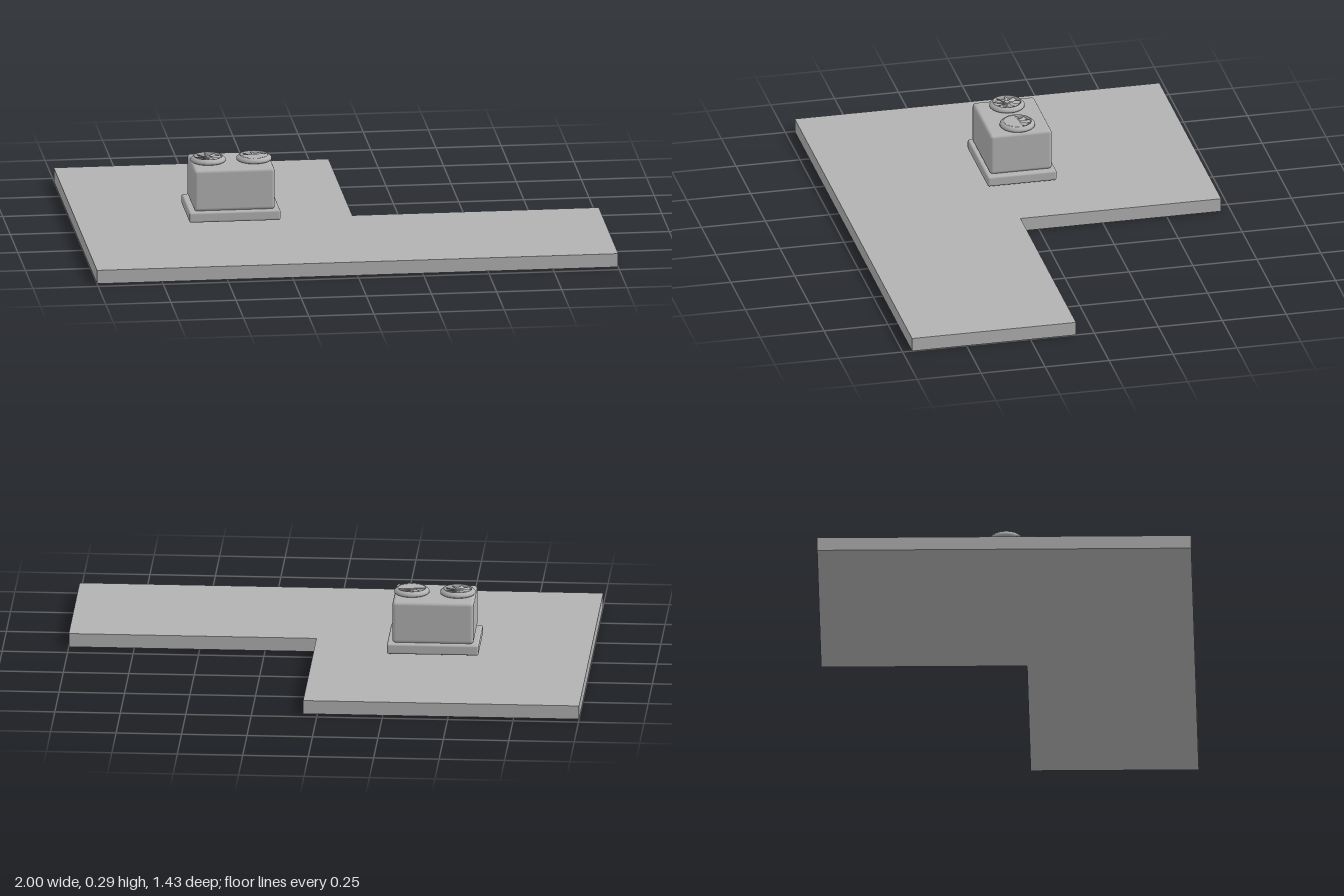
import * as THREE from 'three';
import { RoundedBoxGeometry } from 'three/addons/geometries/RoundedBoxGeometry.js';

export function createModel() {
  const model = new THREE.Group();
  model.name = 'roofWithCoolingUnit';
  const grey = new THREE.MeshStandardMaterial({ color: 0xb2b2b2 });
  grey.name = 'plain grey';

  const add = (parent, name, geometry, x = 0, y = 0, z = 0) => {
    const mesh = new THREE.Mesh(geometry, grey);
    mesh.name = name;
    mesh.position.set(x, y, z);
    parent.add(mesh);
    return mesh;
  };

  // Two abutting slabs forming an L, flush along the front edge
  const slab = (name, x0, x1, z0, z1) => add(model, name,
    new THREE.BoxGeometry(x1 - x0, 0.053, z1 - z0), (x0 + x1) / 2, 0.0265, (z0 + z1) / 2);
  slab('mainSlab', -1, 0.054, -0.713, 0.713);
  slab('sideSlab', 0.054, 1, 0.072, 0.713);

  // Cooling unit: plinth and rounded housing
  const unit = new THREE.Group();
  unit.name = 'coolingUnit';
  unit.position.set(-0.403, 0, 0);
  model.add(unit);
  add(unit, 'plinth', new RoundedBoxGeometry(0.35, 0.041, 0.27, 3, 0.008), 0, 0.0815, 0);
  add(unit, 'housing', new RoundedBoxGeometry(0.31, 0.164, 0.242, 4, 0.013), 0, 0.183, 0);

  // Fan ring: chamfered rim around a shallow well
  const rim = [[0.052, 0.002], [0.062, 0.002], [0.067, 0.006], [0.067, 0.013], [0.062, 0.018],
    [0.056, 0.023], [0.053, 0.023], [0.051, 0.018], [0.052, 0.002]]
    .map(([r, y]) => new THREE.Vector2(r, y));

  const makeFan = (name, x, bladeCount, coverAngle) => {
    const fan = new THREE.Group();
    fan.name = name;
    fan.position.set(x, 0.264, 0);
    unit.add(fan);
    add(fan, 'fanRim', new THREE.LatheGeometry(rim, 40));
    add(fan, 'fanFloor', new THREE.CylinderGeometry(0.053, 0.053, 0.008, 40), 0, 0.004, 0);
    add(fan, 'fanHub', new THREE.CylinderGeometry(0.011, 0.013, 0.014, 20), 0, 0.015, 0);

    // Pitched blades set around the hub
    for (let i = 0; i < bladeCount; i++) {
      const pivot = new THREE.Group();
      pivot.name = 'bladePivot';
      pivot.rotation.y = (i / bladeCount) * Math.PI * 2 + 0.2;
      fan.add(pivot);
      const blade = add(pivot, 'fanBlade', new THREE.BoxGeometry(0.044, 0.0025, 0.014), 0.03, 0.015, 0);
      blade.rotation.x = 0.5;
    }

    // Partial guard plate towards the front
    if (coverAngle) {
      const sector = new THREE.Shape();
      sector.moveTo(0, 0);
      sector.absarc(0, 0, 0.053, -coverAngle, 0.25, false);
      sector.closePath();
      const geometry = new THREE.ExtrudeGeometry(sector, { depth: 0.003, bevelEnabled: false, curveSegments: 24 });
      geometry.rotateX(-Math.PI / 2);
      add(fan, 'fanGuard', geometry, 0, 0.019, 0);
    }
  };
  makeFan('rightFan', -0.088, 9, 0);
  makeFan('leftFan', 0.088, 9, Math.PI);

  return model;
}
